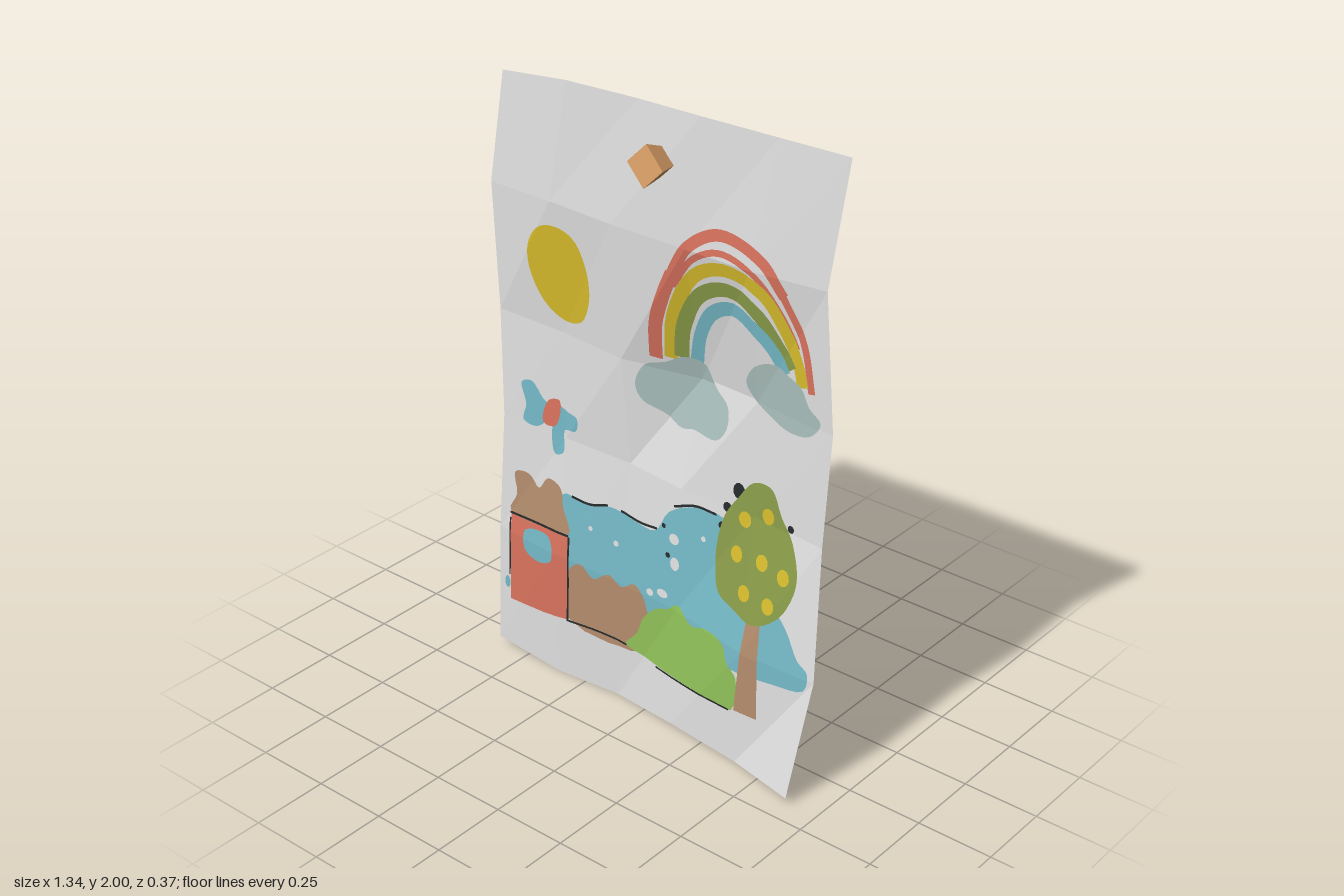
import * as THREE from 'three';

const mat = (name, color, extra = {}) => Object.assign(new THREE.MeshStandardMaterial({ color, ...extra }), { name });

// Crumpled sheet: rows from bottom to top, each a list of [x, y, z]
const SHEET = [
  [[-.62, .03, .08], [-.36, .005, .08], [-.12, .005, .06], [.13, .025, .1], [.4, .015, .12], [.645, .03, .185]],
  [[-.615, .45, .065], [-.37, .44, .07], [-.12, .42, .05], [.12, .42, .06], [.4, .4, .1], [.665, .4, .09]],
  [[-.61, .85, .035], [-.36, .84, .02], [-.11, .83, .005], [.1, .82, .015], [.38, .83, .01], [.635, .82, .03]],
  [[-.635, 1.2, .01], [-.38, 1.19, 0], [-.14, 1.18, .01], [.12, 1.17, -.065], [.36, 1.19, -.02], [.64, 1.18, .005]],
  [[-.67, 1.61, -.005], [-.41, 1.62, .02], [-.17, 1.61, .02], [.1, 1.6, .005], [.34, 1.6, .01], [.6, 1.61, 0]],
  [[-.635, 1.965, -.035], [-.36, 2, -.01], [-.1, 2, -.025], [.13, 2, -.025], [.4, 2, -.03], [.64, 2, -.035]],
];

// Counter-clockwise facets of the sheet
const FACETS = [];
for (let r = 0; r < 5; r++) {
  for (let c = 0; c < 5; c++) {
    const a = SHEET[r][c], b = SHEET[r][c + 1], d = SHEET[r + 1][c], e = SHEET[r + 1][c + 1];
    FACETS.push([a, b, e], [a, e, d]);
  }
}

const side = (a, b, p) => (b[0] - a[0]) * (p[1] - a[1]) - (b[1] - a[1]) * (p[0] - a[0]);

// Clip a flat polygon to one facet
function clip(poly, facet) {
  for (let i = 0; i < 3 && poly.length; i++) {
    const a = facet[i], b = facet[(i + 1) % 3], out = [];
    poly.forEach((p, k) => {
      const q = poly[(k + 1) % poly.length], sp = side(a, b, p), sq = side(a, b, q);
      if (sp >= 0) out.push(p);
      if ((sp >= 0) !== (sq >= 0)) {
        const t = sp / (sp - sq);
        out.push([p[0] + (q[0] - p[0]) * t, p[1] + (q[1] - p[1]) * t]);
      }
    });
    poly = out;
  }
  return poly;
}

// Height of a point on a facet's plane
function heightOn([a, b, c], p) {
  const area = side(a, b, c);
  return (side(b, c, p) * a[2] + side(c, a, p) * b[2] + side(a, b, p) * c[2]) / area;
}

function flatGeometry(positions) {
  const g = new THREE.BufferGeometry();
  g.setAttribute('position', new THREE.Float32BufferAttribute(positions, 3));
  g.computeVertexNormals();
  return g;
}

// Lay flat outlines onto both faces of the folded sheet
function paint(outlines, layer) {
  const pos = [], d = .0018 * layer;
  for (const outline of outlines) {
    if (THREE.ShapeUtils.isClockWise(outline)) outline.reverse();
    for (const tri of THREE.ShapeUtils.triangulateShape(outline, [])) {
      const corners = tri.map((i) => [outline[i].x, outline[i].y]);
      for (const facet of FACETS) {
        const poly = clip(corners, facet);
        for (let i = 1; i + 1 < poly.length; i++) {
          const fan = [poly[0], poly[i], poly[i + 1]];
          if (Math.abs(side(...fan)) < 1e-9) continue;
          for (const p of fan) pos.push(p[0], p[1], heightOn(facet, p) + d);
          for (const p of fan.reverse()) pos.push(p[0], p[1], heightOn(facet, p) - d);
        }
      }
    }
  }
  return flatGeometry(pos);
}

// Outline helpers: straight polygon, smooth blob, ellipse and brush stroke
function poly(...n) {
  const pts = [];
  for (let i = 0; i < n.length; i += 2) pts.push(new THREE.Vector2(n[i], n[i + 1]));
  return pts;
}
const curve = (pts, closed) =>
  new THREE.CatmullRomCurve3(pts.map((p) => new THREE.Vector3(p.x, p.y, 0)), closed, 'centripetal');
function blob(...n) {
  const pts = poly(...n);
  return curve(pts, true).getPoints(pts.length * 4).slice(0, -1).map((p) => new THREE.Vector2(p.x, p.y));
}
const spot = (x, y, rx, ry = rx) => new THREE.EllipseCurve(x, y, rx, ry).getPoints(12).slice(0, -1);
function stroke(width, ...n) {
  const c = curve(poly(...n), false), left = [], right = [], steps = 28;
  for (let i = 0; i <= steps; i++) {
    const p = c.getPoint(i / steps), t = c.getTangent(i / steps);
    left.push(new THREE.Vector2(p.x - t.y * width / 2, p.y + t.x * width / 2));
    right.unshift(new THREE.Vector2(p.x + t.y * width / 2, p.y - t.x * width / 2));
  }
  return [...left, ...right];
}

export function createModel() {
  const group = new THREE.Group();
  group.name = 'paintedPaper';
  const paper = mat('paper', 0xdedede, { side: THREE.DoubleSide });
  const yellow = mat('yellow', 0xd6bb2c), red = mat('red', 0xd9725e), teal = mat('teal', 0x74b8c6);
  const olive = mat('olive', 0x899c49), lime = mat('lime', 0x8fc058), brown = mat('brown', 0xb38c6c);
  const cloud = mat('cloud grey', 0xa8bdba), tan = mat('tan', 0xdca268), ink = mat('ink', 0x262a2a);

  const add = (name, geometry, material) => {
    const mesh = new THREE.Mesh(geometry, material);
    mesh.name = name;
    group.add(mesh);
    return mesh;
  };
  const art = (name, material, layer, ...outlines) => add(name, paint(outlines, layer), material);

  // Sheet of paper
  add('sheet', flatGeometry(FACETS.flat(2)), paper);

  // Four-sided dart poking through the top
  const dart = add('dart', new THREE.ConeGeometry(.066, .25, 4).toNonIndexed(), tan);
  dart.geometry.computeVertexNormals();
  dart.rotation.x = -(Math.PI / 2 + .1);
  dart.position.set(0, 1.832, -.061);

  // Sky: sun, rainbow, clouds
  art('sun', yellow, 1, blob(-.503, 1.38, -.5, 1.47, -.45, 1.53, -.37, 1.54, -.31, 1.51, -.27, 1.42, -.265, 1.33, -.3, 1.25, -.37, 1.235, -.45, 1.28));
  art('rainbowRed', red, 1,
    stroke(.042, -.025, 1.21, -.015, 1.33, .02, 1.44, .05, 1.51),
    stroke(.036, .04, 1.49, .11, 1.61, .225, 1.675, .38, 1.635, .455, 1.55),
    stroke(.026, .45, 1.555, .525, 1.42, .558, 1.28),
    stroke(.02, .05, 1.47, .12, 1.57, .225, 1.622, .35, 1.59, .44, 1.5, .5, 1.4));
  art('rainbowYellow', yellow, 2, stroke(.042, .025, 1.22, .045, 1.37, .125, 1.52, .245, 1.575, .38, 1.54, .455, 1.45, .51, 1.345, .525, 1.29));
  art('rainbowGreen', olive, 3, stroke(.046, .06, 1.23, .077, 1.345, .14, 1.46, .25, 1.512, .36, 1.475, .44, 1.385, .48, 1.33));
  art('rainbowBlue', teal, 4, stroke(.044, .108, 1.22, .135, 1.335, .19, 1.42, .27, 1.455, .36, 1.42, .42, 1.37, .46, 1.31));
  art('clouds', cloud, 5,
    blob(-.09, 1.11, -.06, 1.18, .01, 1.205, .07, 1.235, .14, 1.225, .18, 1.17, .245, 1.13, .255, 1.07, .22, 1.02, .12, 1.015, .07, 1.005, 0, 1.035, -.065, 1.06),
    blob(.315, 1.235, .35, 1.3, .42, 1.33, .48, 1.31, .525, 1.29, .555, 1.24, .6, 1.205, .56, 1.15, .48, 1.14, .42, 1.16, .35, 1.195));

  // Butterfly
  art('butterflyWings', teal, 1,
    blob(-.54, .98, -.5, .995, -.455, .95, -.43, .93, -.44, .875, -.48, .845, -.53, .855, -.52, .91),
    blob(-.395, .94, -.35, .93, -.315, .92, -.32, .875, -.365, .865, -.365, .79, -.4, .775, -.415, .84));
  art('butterflyBody', red, 2, blob(-.45, .87, -.43, .95, -.385, .96, -.4, .87));

  // Hills with bare paper flecks
  art('hills', teal, 1, blob(-.36, .65, -.25, .645, -.17, .665, -.07, .65, .01, .65, .06, .73, .16, .78, .27, .78,
    .35, .7, .48, .6, .55, .53, .6, .45, .64, .42, .63, .36, .52, .34, .4, .33, .1, .32, -.3, .35));
  art('flecks', paper, 2, spot(.09, .65, .02, .018), spot(.1, .57, .018, .022), spot(.06, .455, .022, .014),
    spot(.01, .44, .014, .012), spot(-.14, .55, .01), spot(.2, .69, .009), spot(-.24, .57, .008));
  art('hillInk', ink, 2, stroke(.008, -.32, .655, -.25, .65, -.18, .668), stroke(.008, -.13, .665, -.05, .655, .02, .66),
    stroke(.008, .08, .757, .16, .785, .24, .785), spot(.07, .59, .009), spot(.045, .68, .008));

  // Fence and bush
  art('fence', brown, 2, blob(-.315, .22, -.315, .4, -.27, .435, -.22, .4, -.16, .435, -.11, .41, -.055, .44, -.01, .4, 0, .22));
  art('bush', lime, 3, blob(-.085, .215, -.04, .27, -.015, .335, .035, .39, .09, .415, .125, .44, .19, .4, .25, .415,
    .325, .4, .35, .345, .39, .31, .38, .195, .3, .19, 0, .2));
  art('groundInk', ink, 4, stroke(.007, -.32, .213, -.2, .217, -.08, .212), stroke(.006, .05, .192, .2, .189, .37, .191));

  // House
  art('houseWall', red, 3, poly(-.565, .2, -.565, .515, -.32, .515, -.32, .215, -.42, .205));
  art('roof', brown, 3, blob(-.57, .525, -.545, .59, -.555, .665, -.5, .675, -.455, .64, -.42, .685, -.365, .67, -.35, .61, -.32, .525));
  art('window', teal, 4, blob(-.5, .48, -.4, .49, -.385, .41, -.44, .385, -.5, .41), spot(-.577, .26, .012, .022));
  art('houseInk', ink, 4, stroke(.008, -.57, .518, -.45, .52, -.32, .518), stroke(.007, -.318, .515, -.316, .36, -.318, .21),
    stroke(.006, -.567, .5, -.566, .4, -.567, .29));

  // Fruit tree
  art('trunk', brown, 4, poly(.39, .2, .475, .2, .46, .54, .41, .54));
  art('crownInk', ink, 4, spot(.318, .89, .022, .026), spot(.28, .825, .016), spot(.265, .76, .012), spot(.52, .84, .012));
  art('crown', olive, 5, blob(.255, .7, .275, .8, .315, .865, .37, .935, .44, .94, .485, .865, .535, .8, .57, .7,
    .55, .61, .51, .55, .43, .505, .35, .525, .285, .55, .26, .61));
  const fruit = [[.35, .81], [.435, .85], [.335, .695], [.435, .705], [.52, .69], [.385, .59], [.48, .585]];
  art('fruit', yellow, 6, ...fruit.map(([x, y]) => spot(x, y, .023, .026)));

  return group;
}
